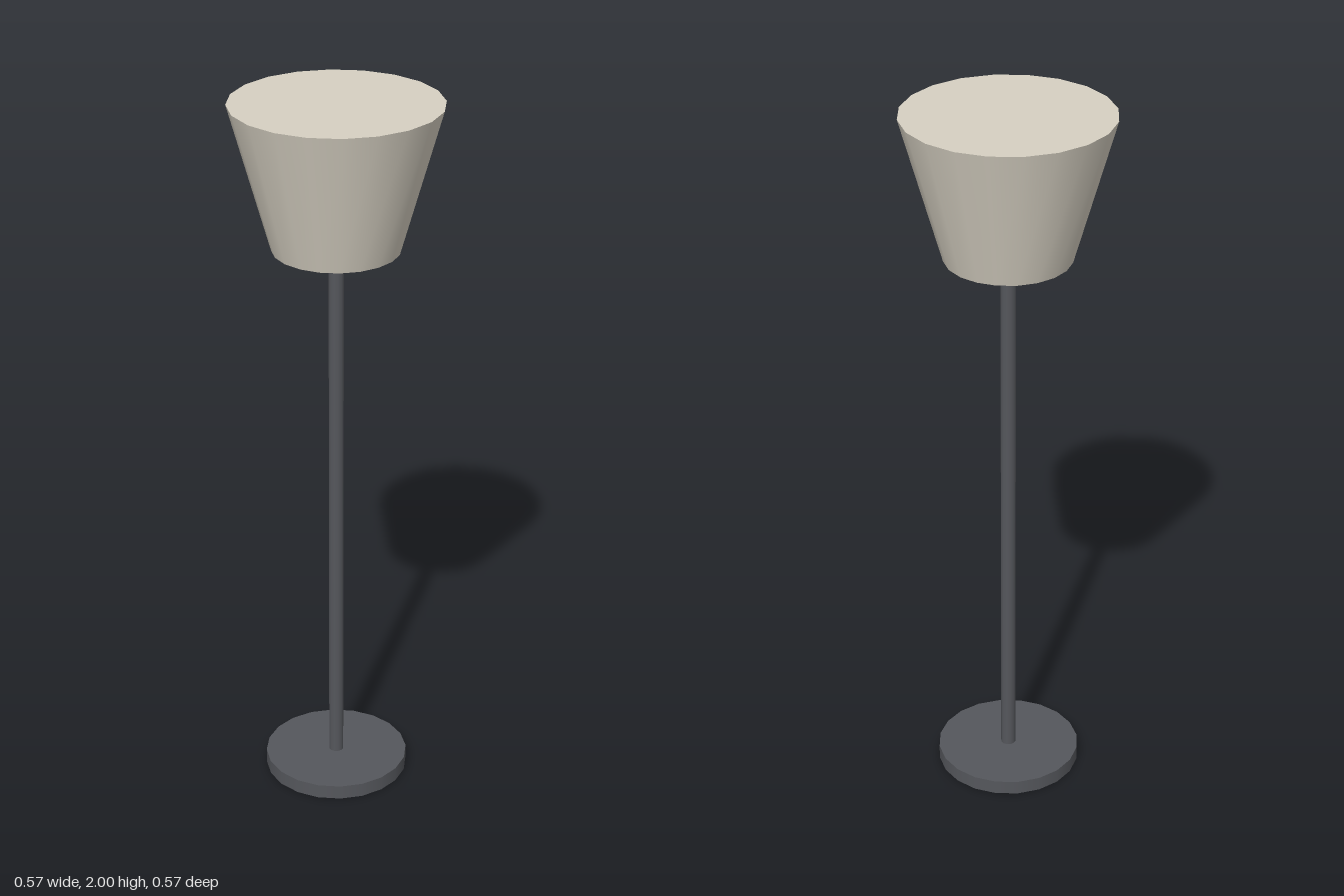
import * as THREE from 'three';

const metal = new THREE.MeshStandardMaterial({ color: 0x55575c });
const fabric = new THREE.MeshStandardMaterial({ color: 0xd6d0c2 });

// Upright closed cylinder or cone section between two heights
function round(name, rTop, rBottom, y0, y1, sides, material) {
  const mesh = new THREE.Mesh(new THREE.CylinderGeometry(rTop, rBottom, y1 - y0, sides), material);
  mesh.name = name;
  mesh.position.y = (y0 + y1) / 2;
  return mesh;
}

export function createModel() {
  const lamp = new THREE.Group();
  lamp.name = 'floorLamp';
  lamp.add(
    round('base', 0.203, 0.203, 0, 0.041, 20, metal),
    round('pole', 0.021, 0.021, 0.041, 1.6, 12, metal),
    round('shade', 0.284, 0.172, 1.6, 2, 20, fabric), // wider at the top
  );
  return lamp;
}
